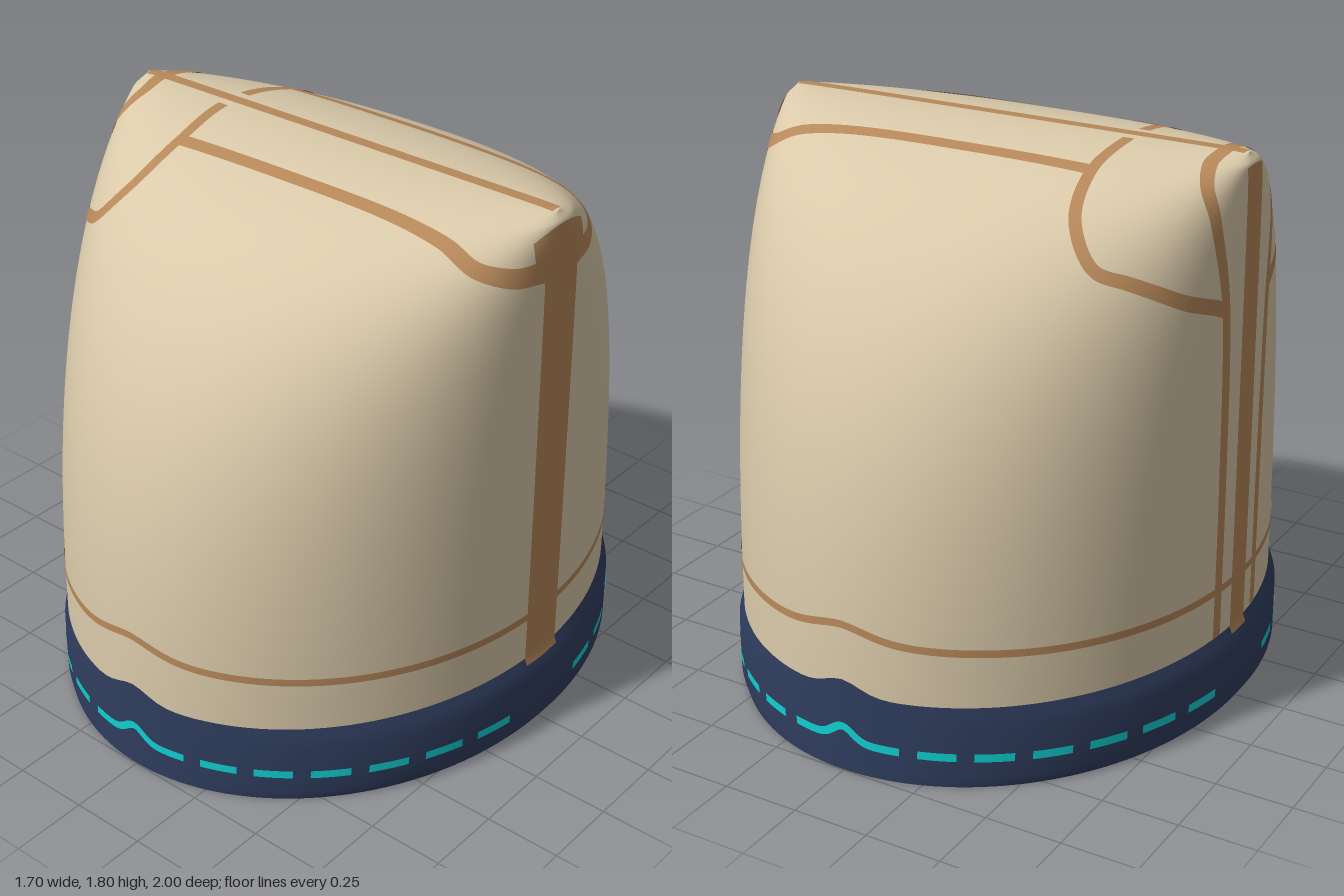
import * as THREE from 'three';

const H = 1.797;
const mat = (name, color) => {
  const m = new THREE.MeshStandardMaterial({ color, side: THREE.DoubleSide });
  m.name = name;
  return m;
};
const lerp = THREE.MathUtils.lerp;
const step = THREE.MathUtils.smoothstep;

// Half width (a), half depth (w) and squareness (n) of the cross-section at height y
function section(y) {
  const k = Math.min(Math.max(y / H, 0), 1);
  let a = 0.82 - 0.02 * step(y, 1.765, H);
  let w = 0.996 * Math.sqrt(Math.max(0, 1 - Math.pow(k, 3.2)));
  if (y < 0.03) a = lerp(0.83, 0.85, Math.max(y, 0) / 0.03);
  else if (y < 0.2) a = 0.85;
  else if (y < 0.265) a = lerp(0.85, 0.82, (y - 0.2) / 0.065);
  if (y < 0.2) w = 0.997;
  return { a, w, n: 2 + 0.5 * Math.pow(k, 4) };
}

// Point on the surface at angle t and height y
function at(t, y) {
  const { a, w, n } = section(y);
  const c = Math.cos(t), s = Math.sin(t);
  return new THREE.Vector3(
    a * Math.sign(c) * Math.pow(Math.abs(c), 2 / n), y,
    w * Math.sign(s) * Math.pow(Math.abs(s), 2 / n));
}

// Push a point onto the surface along the ray from an inner centre
const CENTRE = new THREE.Vector3(0, 0.6, 0);
function project(p, lift = 0) {
  const d = p.clone().sub(CENTRE);
  let lo = 0.3, hi = 2;
  for (let i = 0; i < 30; i++) {
    const k = (lo + hi) / 2;
    const y = 0.6 + d.y * k;
    const { a, w, n } = section(y);
    const inside = y < H && Math.pow(Math.abs(d.x * k) / a, n) + Math.pow(Math.abs(d.z * k) / Math.max(w, 1e-5), n) < 1;
    if (inside) lo = k; else hi = k;
  }
  return CENTRE.clone().addScaledVector(d, lo + lift / d.length());
}

// Grid surface from fn(column, row)
function grid(cols, rows, fn, closed = false) {
  const pos = [], idx = [];
  const count = closed ? cols : cols + 1;
  for (let j = 0; j <= rows; j++)
    for (let i = 0; i < count; i++) pos.push(...fn(i, j).toArray());
  for (let j = 0; j < rows; j++)
    for (let i = 0; i < cols; i++) {
      const i2 = (i + 1) % count;
      const p = j * count + i, q = j * count + i2;
      idx.push(p, p + count, q, q, p + count, q + count);
    }
  const g = new THREE.BufferGeometry();
  g.setAttribute('position', new THREE.Float32BufferAttribute(pos, 3));
  g.setIndex(idx);
  g.computeVertexNormals();
  return g;
}

// Heights of the cuff edge, the hem seam and the dashed thread, each peaking at mid front and back
const peak = (x, width) => Math.exp(-((x / width) ** 2));
const cuffTop = x => 0.265 + 0.006 * (1 - Math.abs(x) / 0.85) + 0.04 * peak(x, 0.085);
const seamY = x => 0.43 + 0.035 * (1 - Math.abs(x) / 0.85) + 0.03 * peak(x, 0.13);
const threadY = x => 0.1 + 0.01 * (1 - Math.abs(x) / 0.85) + 0.045 * peak(x, 0.05);

export function createModel() {
  const model = new THREE.Group();
  const cloth = mat('cream cloth', 0xd9c9a9);
  const trim = mat('tan trim', 0xb6885a);
  const navy = mat('navy cuff', 0x2f3d5e);
  const cyan = mat('cyan thread', 0x10d0d2);
  const add = (name, geo, m, parent = model) => {
    const mesh = new THREE.Mesh(geo, m);
    mesh.name = name;
    parent.add(mesh);
  };

  // Flat band following a path, laid on both faces of the cloth
  function band(name, pts, half, m, { across = 2, lift = 0.003 } = {}) {
    const g = new THREE.Group();
    g.name = name;
    const n = pts.length - 1;
    const sides = pts.map((p, i) => {
      const tan = pts[Math.min(i + 1, n)].clone().sub(pts[Math.max(i - 1, 0)]);
      return tan.cross(p.clone().sub(CENTRE)).normalize();
    });
    for (const s of [1, -1])
      add(s > 0 ? 'outerFace' : 'innerFace', grid(n, across, (i, j) => {
        const hw = typeof half === 'function' ? half(pts[i].y) : half;
        return project(pts[i].clone().addScaledVector(sides[i], (2 * j / across - 1) * hw), s * lift);
      }), m, g);
    model.add(g);
  }
  const path = (points, n = 60) => new THREE.CatmullRomCurve3(
    points.map(p => project(new THREE.Vector3(...p))), false, 'centripetal').getSpacedPoints(n).map(p => project(p));

  // Crown, closing to a straight ridge across the top
  const N = 160, ROWS = 70;
  add('crown', grid(N, ROWS, (i, j) => {
    const t = i / N * Math.PI * 2, y0 = cuffTop(0.82 * Math.cos(t));
    return at(t, lerp(y0, H, 1 - (1 - j / ROWS) ** 2));
  }, true), cloth);

  // Cuff
  const levels = [0, 0.03, 0.1, 0.2, 0.24];
  add('cuff', grid(N, levels.length, (i, j) => {
    const t = i / N * Math.PI * 2;
    return at(t, j < levels.length ? levels[j] : cuffTop(0.82 * Math.cos(t)));
  }, true), navy);

  // Seam around the lower crown
  const loop = (t0, t1, n, fy) => Array.from({ length: n + 1 }, (_, i) => {
    const t = lerp(t0, t1, i / n);
    return at(t, fy(0.83 * Math.cos(t)));
  });
  band('hemSeam', loop(0, Math.PI * 2, 200, seamY), 0.012, trim);

  // Dashed thread on the cuff, mirrored front to back and side to side
  for (const mid of [Math.PI / 2, -Math.PI / 2]) {
    band('threadPeak', loop(mid - 0.22, mid + 0.22, 36, threadY), 0.012, cyan);
    for (const s of [1, -1])
      for (let k = 0; k < 6; k++) {
        const t = mid + s * (0.285 + k * 0.195);
        band('threadDash', loop(t, t + s * 0.135, 8, threadY), 0.012, cyan);
      }
  }

  // Ridge seam and the upright stripes at both ends
  band('ridgeSeam', path([[-0.79, H, 0], [0, H, 0], [0.79, H, 0]]), 0.02, trim);
  const upright = (x, top) => Array.from({ length: 81 }, (_, i) =>
    project(new THREE.Vector3(x, lerp(0.25, top, i / 80), 0)));
  band('leftEndStripe', upright(0.82, 1.765), y => 0.08 + 0.04 * step(y, 1.62, 1.7), trim, { across: 8, lift: 0.005 });
  band('rightEndStripe', upright(-0.82, 1.765), 0.05, trim, { across: 6, lift: 0.005 });

  for (const s of [1, -1]) {
    // Long top seam, running down around the left end
    band('topSeam', path([[-0.42, 1.775, 0.265 * s], [0, 1.78, 0.265 * s], [0.4, 1.772, 0.265 * s],
      [0.6, 1.745, 0.27 * s], [0.72, 1.7, 0.27 * s], [0.79, 1.655, 0.19 * s], [0.82, 1.635, 0.07 * s]], 90), 0.022, trim);
    // Right panel seam, from the ridge down to the side piping
    band('panelSeam', path([[-0.43, H, 0.05 * s], [-0.43, 1.775, 0.27 * s], [-0.47, 1.67, 0.44 * s],
      [-0.56, 1.55, 0.5 * s], [-0.64, 1.5, 0.45 * s], [-0.75, 1.42, 0.32 * s], [-0.815, 1.36, 0.15 * s]], 80), 0.018, trim);
    // Piping beside the right end stripe, curling in at the top
    band('sidePiping', path([[-0.81, 0.27, 0.13 * s], [-0.81, 0.8, 0.13 * s], [-0.81, 1.35, 0.145 * s],
      [-0.8, 1.64, 0.19 * s], [-0.76, 1.74, 0.18 * s], [-0.73, 1.785, 0.11 * s], [-0.73, H, 0.02 * s]], 100), 0.02, trim);
  }
  return model;
}
